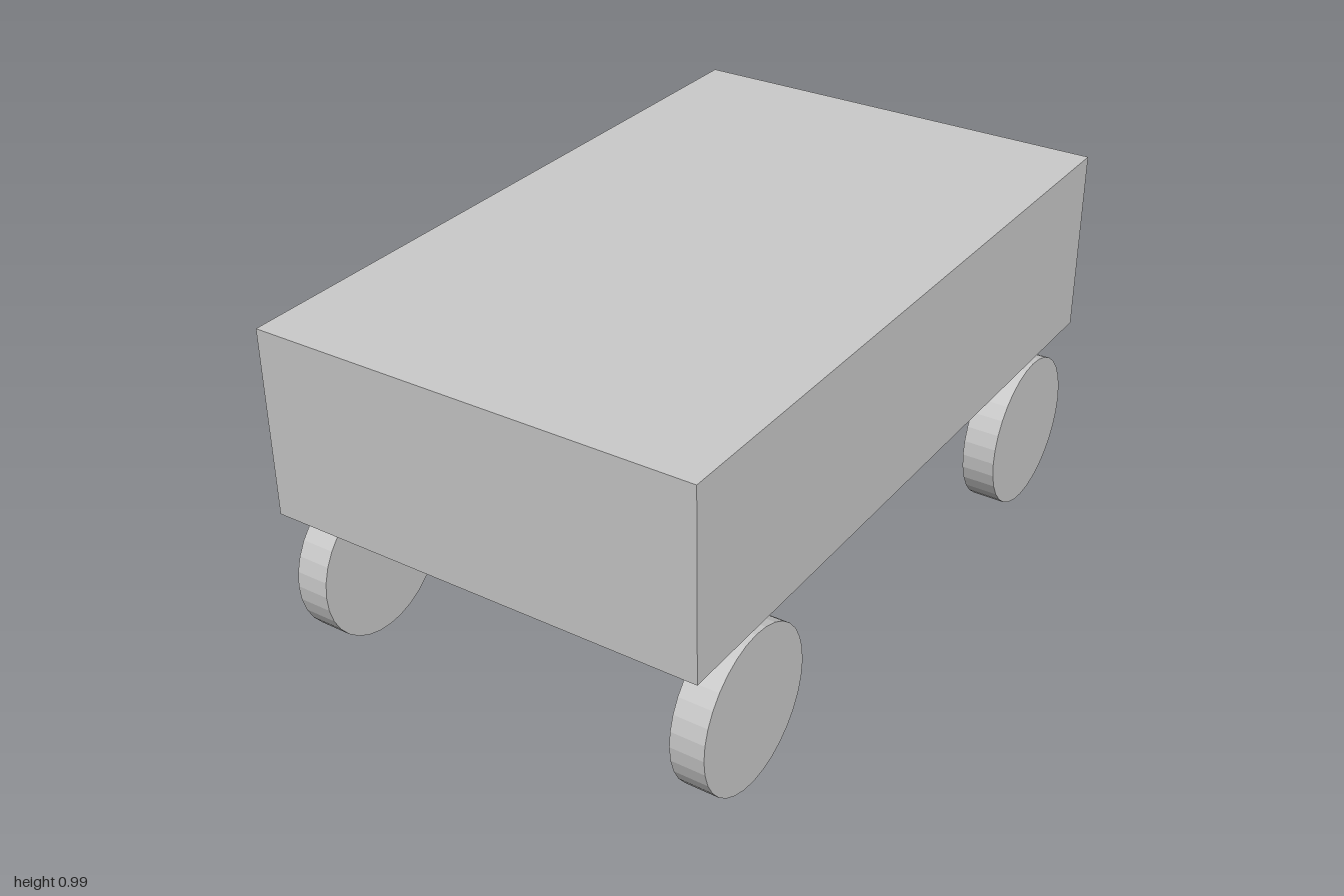
import * as THREE from 'three';

export function createModel() {
  const group = new THREE.Group();
  const material = new THREE.MeshStandardMaterial({ color: 0xcccccc, flatShading: true });

  // Plain box body floating just above the wheels
  const body = new THREE.Mesh(new THREE.BoxGeometry(1.24, 0.525, 2), material);
  body.name = 'body';
  body.position.y = 0.725;
  group.add(body);

  // Four faceted disc wheels, axles along x
  const wheelGeometry = new THREE.CylinderGeometry(0.22, 0.22, 0.095, 32).rotateZ(Math.PI / 2);
  const wheels = [
    ['frontLeftWheel', 0.57, 0.75],
    ['frontRightWheel', -0.576, 0.748],
    ['backLeftWheel', 0.57, -0.75],
    ['backRightWheel', -0.576, -0.755],
  ];
  for (const [name, x, z] of wheels) {
    const wheel = new THREE.Mesh(wheelGeometry, material);
    wheel.name = name;
    wheel.position.set(x, 0.22, z);
    group.add(wheel);
  }

  return group;
}
